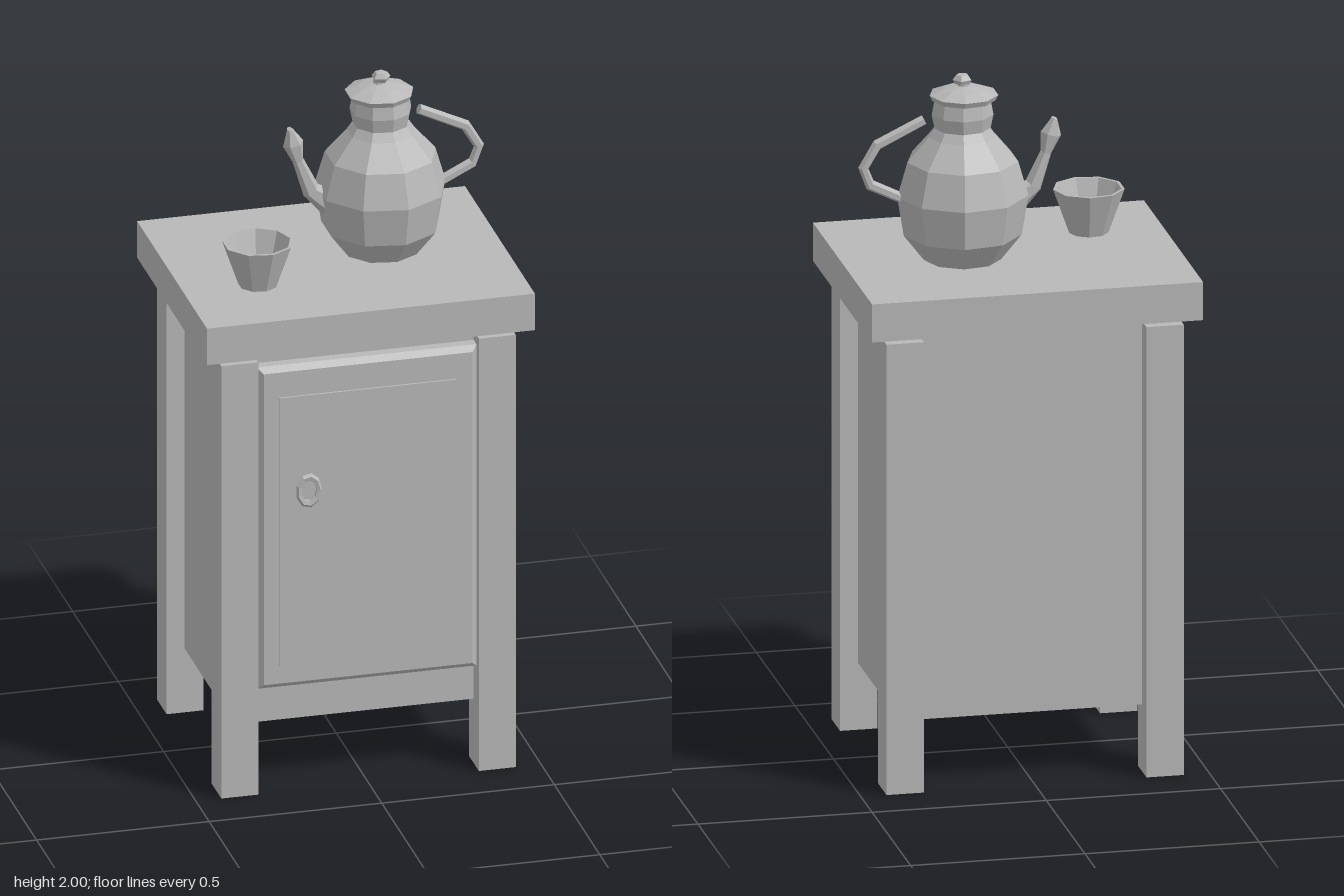
import * as THREE from 'three';

export function createModel() {
  const root = new THREE.Group();
  root.name = 'bedsideCabinetWithTeapot';
  const grey = new THREE.MeshStandardMaterial({ color: 0xb8b8b8, flatShading: true });
  grey.name = 'plain grey';

  const add = (name, geometry, x = 0, y = 0, z = 0, parent = root) => {
    const mesh = new THREE.Mesh(geometry, grey);
    mesh.name = name;
    mesh.position.set(x, y, z);
    parent.add(mesh);
    return mesh;
  };
  // Box given by its limits on each axis
  const box = (name, x0, x1, y0, y1, z0, z1) =>
    add(name, new THREE.BoxGeometry(x1 - x0, y1 - y0, z1 - z0),
      (x0 + x1) / 2, (y0 + y1) / 2, (z0 + z1) / 2);
  // Faceted turned shape with a corner on +x
  const lathe = (points, sides) => new THREE.LatheGeometry(
    points.map(([r, y]) => new THREE.Vector2(r, y)), sides, Math.PI / 2);

  // Faceted tube through [x, y, in-plane radius, z radius] sections, closed at both ends
  const loft = (sections, sides) => {
    const rings = sections.map(([x, y, r, rz], i) => {
      const a = sections[Math.max(i - 1, 0)];
      const b = sections[Math.min(i + 1, sections.length - 1)];
      const t = new THREE.Vector2(b[0] - a[0], b[1] - a[1]).normalize();
      return Array.from({ length: sides }, (_, k) => {
        const q = (k / sides) * Math.PI * 2;
        return [x - t.y * r * Math.cos(q), y + t.x * r * Math.cos(q), rz * Math.sin(q)];
      });
    });
    const pos = rings.flat(2);
    const index = [];
    const last = (rings.length - 1) * sides;
    for (let k = 0; k < sides; k++) {
      const n = (k + 1) % sides;
      for (let i = 0; i < last; i += sides) {
        index.push(i + k, i + n, i + sides + n, i + k, i + sides + n, i + sides + k);
      }
      if (k > 0 && k < sides - 1) index.push(0, k + 1, k, last, last + k, last + k + 1);
    }
    const g = new THREE.BufferGeometry();
    g.setAttribute('position', new THREE.Float32BufferAttribute(pos, 3));
    g.setIndex(index);
    g.computeVertexNormals();
    return g;
  };

  // Cabinet
  box('tabletop', -0.475, 0.475, 1.345, 1.457, -0.387, 0.381);
  box('cabinetBody', -0.375, 0.375, 0.197, 1.346, -0.297, 0.297);
  for (const sx of [-1, 1]) {
    for (const sz of [-1, 1]) {
      add((sz > 0 ? 'front' : 'back') + (sx > 0 ? 'Left' : 'Right') + 'Leg',
        new THREE.BoxGeometry(0.107, 1.325, 0.108), sx * 0.373, 0.6625, sz * 0.301);
    }
  }

  // Bevelled door with a nearly flush panel
  const bevel = 0.016;
  const doorShape = new THREE.Shape();
  doorShape.moveTo(-0.302, 0.331).lineTo(0.302, 0.331).lineTo(0.302, 1.284)
    .lineTo(-0.302, 1.284).closePath();
  add('door', new THREE.ExtrudeGeometry(doorShape, {
    depth: 0.03, bevelEnabled: true, bevelSize: bevel, bevelThickness: bevel, bevelSegments: 1,
  }), 0, 0, 0.304);
  box('doorPanel', -0.258, 0.255, 0.388, 1.208, 0.348, 0.356);

  // Oval door pull
  const pull = add('doorPull', new THREE.TorusGeometry(0.031, 0.009, 5, 9), -0.18, 0.928, 0.382);
  pull.scale.set(0.96, 1.33, 0.85);

  // Teapot
  const pot = new THREE.Group();
  pot.name = 'teapot';
  pot.position.set(0.137, 0, -0.03);
  root.add(pot);
  add('potBody', lathe([[0, 1.457], [0.11, 1.46], [0.168, 1.535], [0.187, 1.65], [0.158, 1.75],
    [0.097, 1.82], [0.08, 1.845], [0.088, 1.885], [0.08, 1.93], [0, 1.93]], 9), 0, 0, 0, pot);
  add('potLid', lathe([[0, 1.926], [0.09, 1.926], [0.098, 1.942], [0.06, 1.957],
    [0.018, 1.967], [0.016, 1.978], [0, 1.978]], 9), -0.004, 0, 0, pot);
  add('lidKnob', lathe([[0, 1.972], [0.022, 1.973], [0.028, 1.985], [0.018, 1.998], [0, 2]], 5),
    0, 0, 0, pot);
  add('spout', loft([[-0.135, 1.61, 0.045, 0.032], [-0.203, 1.66, 0.026, 0.03],
    [-0.24, 1.755, 0.016, 0.022], [-0.254, 1.808, 0.03, 0.028],
    [-0.264, 1.853, 0.008, 0.016]], 6), 0, 0, 0, pot);
  add('potHandle', loft([[0.11, 1.873, 0.015, 0.018], [0.245, 1.808, 0.016, 0.018],
    [0.284, 1.742, 0.015, 0.018], [0.265, 1.692, 0.016, 0.018],
    [0.15, 1.635, 0.015, 0.018]], 6), 0, 0, 0, pot);

  // Open cup
  add('cup', lathe([[0, 1.458], [0.056, 1.46], [0.102, 1.59], [0.093, 1.59],
    [0.055, 1.475], [0, 1.475]], 9), -0.26, 0, 0.126);

  return root;
}
